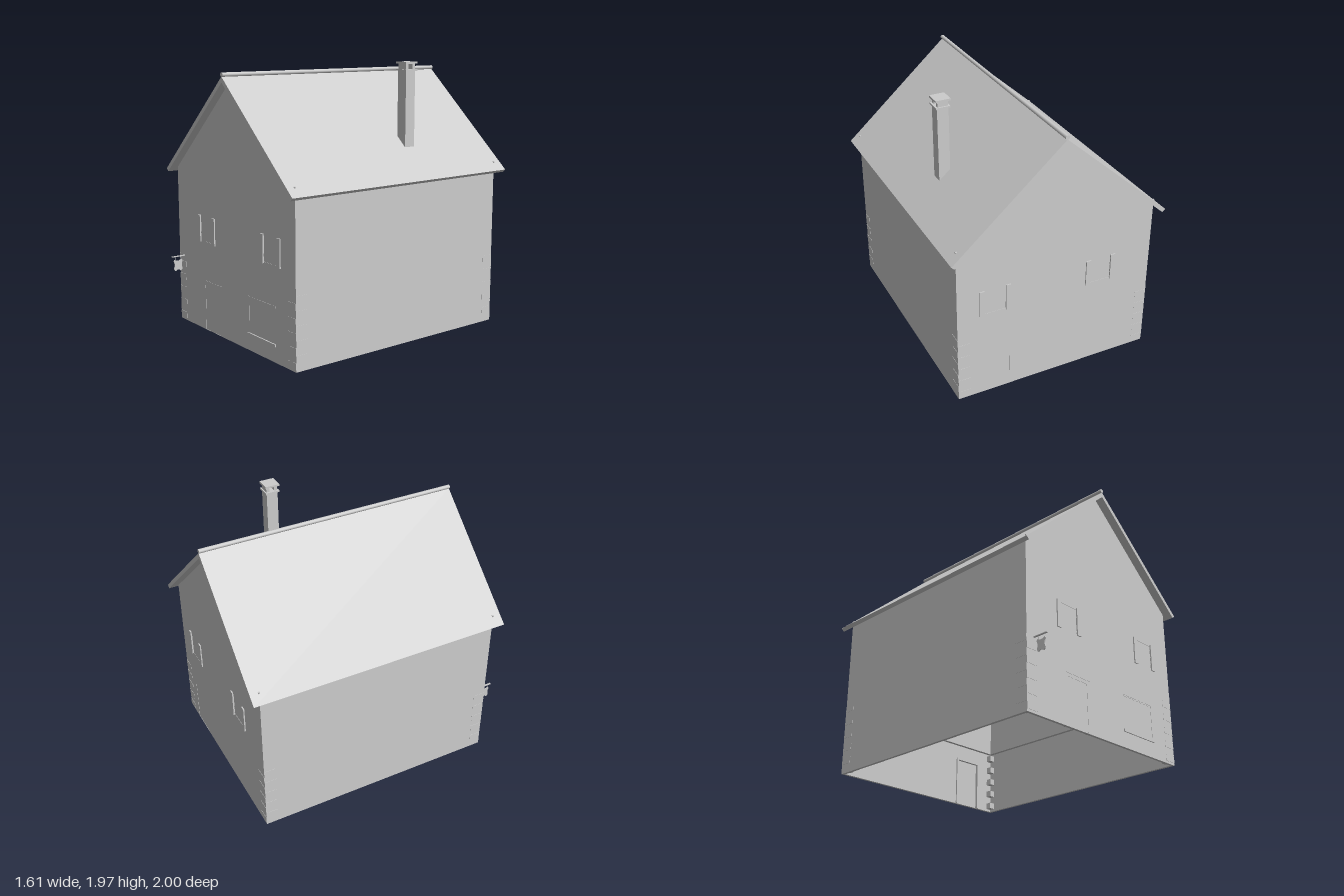
import * as THREE from 'three';

const FRONT = 0.89, BACK = -0.935, MID = (FRONT + BACK) / 2, HALF = 0.75;
const LENGTH = FRONT - BACK, FLOOR = 0.53, WALL = 0.02;
const APEX = 1.84, SLOPE = 0.888, EAVE = APEX - HALF * SLOPE;

export function createModel() {
  const model = new THREE.Group();
  model.name = 'house';
  const grey = new THREE.MeshStandardMaterial({ color: 0xcccccc });
  grey.name = 'plain grey';

  const add = (name, geometry, x = 0, y = 0, z = 0, parent = model) => {
    const mesh = new THREE.Mesh(geometry, grey);
    mesh.name = name;
    mesh.position.set(x, y, z);
    parent.add(mesh);
    return mesh;
  };
  const box = (name, w, h, d, x, y, z) => add(name, new THREE.BoxGeometry(w, h, d), x, y, z);
  const outline = (points) => new THREE.Shape(points.map(([x, y]) => new THREE.Vector2(x, y)));
  const extrude = (shape, depth) => new THREE.ExtrudeGeometry(shape, { depth, bevelEnabled: false });

  // End wall with openings [x0, x1, y0, y1], thin panes and inner trim
  function endWall(name, points, openings, outer, dir) {
    const shape = outline(points);
    for (const [x0, x1, y0, y1] of openings) {
      shape.holes.push(new THREE.Path([[x0, y0], [x0, y1], [x1, y1], [x1, y0]]
        .map(([x, y]) => new THREE.Vector2(x, y))));
      const w = x1 - x0, h = y1 - y0, cx = (x0 + x1) / 2, cy = (y0 + y1) / 2;
      box(name + 'Panel', w, h, 0.008, cx, cy, outer - dir * 0.006);
      const inner = outer - dir * (WALL + 0.004);
      for (const s of [-1, 1]) {
        box(name + 'SideTrim', 0.014, h, 0.012, cx + s * (w / 2 + 0.007), cy, inner);
      }
      box(name + 'TopTrim', w + 0.028, 0.014, 0.012, cx, y1 + 0.007, inner);
    }
    add(name, extrude(shape, WALL), 0, 0, dir > 0 ? outer - WALL : outer);
  }

  const lower = [[-HALF, 0], [HALF, 0], [HALF, FLOOR], [-HALF, FLOOR]];
  const upper = [[-HALF, FLOOR], [HALF, FLOOR], [HALF, EAVE], [0, APEX], [-HALF, EAVE]];
  const windows = [[-0.425, -0.265, 0.67, 0.85], [0.39, 0.55, 0.67, 0.85]];
  endWall('frontLowerWall', lower, [[-0.38, -0.18, 0.002, 0.34], [0.2, 0.51, 0.12, 0.37]], FRONT, 1);
  endWall('backLowerWall', lower, [[0.36, 0.57, 0.002, 0.36]], BACK, -1);
  endWall('frontGable', upper, windows, FRONT, 1);
  endWall('backGable', upper, windows, BACK, -1);

  // Long side walls with an inner beam at floor level
  for (const s of [-1, 1]) {
    const x = s * (HALF - WALL / 2);
    box('sideLowerWall', WALL, FLOOR, LENGTH, x, FLOOR / 2, MID);
    box('sideUpperWall', WALL, EAVE - FLOOR, LENGTH, x, (FLOOR + EAVE) / 2, MID);
    box('sideBeam', 0.03, 0.04, LENGTH - 0.04, s * (HALF - 0.03), 0.5, MID);
  }
  for (const [z, dir] of [[FRONT, 1], [BACK, -1]]) {
    box('endBeam', 1.44, 0.04, 0.03, 0, 0.5, z - dir * 0.03);
    // Shutters beside the upper windows
    for (const x of [-0.443, -0.247, 0.372, 0.568]) {
      box('shutter', 0.035, 0.2, 0.009, x, 0.76, z + dir * 0.0045);
    }
    // Interlocked log ends at the corners
    for (const s of [-1, 1]) {
      for (let i = 0; i < 5; i++) {
        const y = 0.04 + i * 0.1;
        box('endLog', 0.09, 0.045, 0.003, s * (HALF - 0.045), y, z + dir * 0.0005);
        box('sideLog', 0.003, 0.045, 0.09, s * (HALF + 0.0005), y + 0.05, z - dir * 0.045);
        box('innerLog', 0.045, 0.045, 0.045, s * (HALF - 0.04), y, z - dir * 0.04);
      }
      // Small peg showing through the roof near each corner
      box('roofPeg', 0.012, 0.02, 0.012, s * 0.745, 1.213, z);
    }
  }
  box('frontDoorLintel', 0.23, 0.012, 0.003, -0.27, 0.37, FRONT + 0.0005);
  box('frontWindowLintel', 0.34, 0.012, 0.003, 0.355, 0.385, FRONT + 0.0005);
  box('windowSill', 0.33, 0.018, 0.009, 0.355, 0.12, FRONT + 0.0035);
  box('ceiling', 1.46, 0.01, LENGTH - 0.04, 0, 1.125, MID);

  // Roof slabs and round ridge
  for (const s of [-1, 1]) {
    const profile = [[0, APEX], [0.785, 1.143], [0.807, 1.163], [0, 1.88]]
      .map(([x, y]) => [s * x, y]);
    add(s > 0 ? 'leftRoof' : 'rightRoof', extrude(outline(profile), 1.952), 0, 0, -1);
  }
  const ridge = add('ridge', new THREE.CylinderGeometry(0.015, 0.015, 1.952, 12), 0, 1.893, -0.024);
  ridge.rotation.x = Math.PI / 2;

  // Chimney with a raised cap
  const cx = 0.533, cz = -0.243;
  box('chimneyStack', 0.083, 0.545, 0.086, cx, 1.6325, cz);
  box('chimneyCollar', 0.104, 0.012, 0.108, cx, 1.911, cz);
  for (const s of [-1, 1]) box('capSupport', 0.075, 0.04, 0.024, cx, 1.936, cz + s * 0.031);
  box('chimneyCap', 0.108, 0.014, 0.11, cx, 1.962, cz);

  // Hanging sign on a bracket
  const sign = new THREE.Group();
  sign.name = 'hangingSign';
  sign.position.set(-0.68, 0, 0);
  model.add(sign);
  add('bracket', new THREE.BoxGeometry(0.012, 0.006, 0.112), 0, 0.508, 0.944, sign);
  for (const z of [0.925, 0.973]) {
    add('hanger', new THREE.BoxGeometry(0.002, 0.03, 0.002), 0, 0.493, z, sign);
  }
  const shield = new THREE.Shape();
  shield.moveTo(-0.038, 0.472);
  shield.lineTo(-0.028, 0.485);
  shield.quadraticCurveTo(0, 0.462, 0.028, 0.485);
  shield.lineTo(0.038, 0.472);
  shield.quadraticCurveTo(0.022, 0.445, 0.036, 0.415);
  shield.quadraticCurveTo(0.03, 0.395, 0.018, 0.397);
  shield.quadraticCurveTo(0, 0.415, -0.018, 0.397);
  shield.quadraticCurveTo(-0.03, 0.395, -0.036, 0.415);
  shield.quadraticCurveTo(-0.022, 0.445, -0.038, 0.472);
  const board = add('signBoard', extrude(shield, 0.006), -0.003, 0, 0.949, sign);
  board.rotation.y = Math.PI / 2;

  return model;
}
